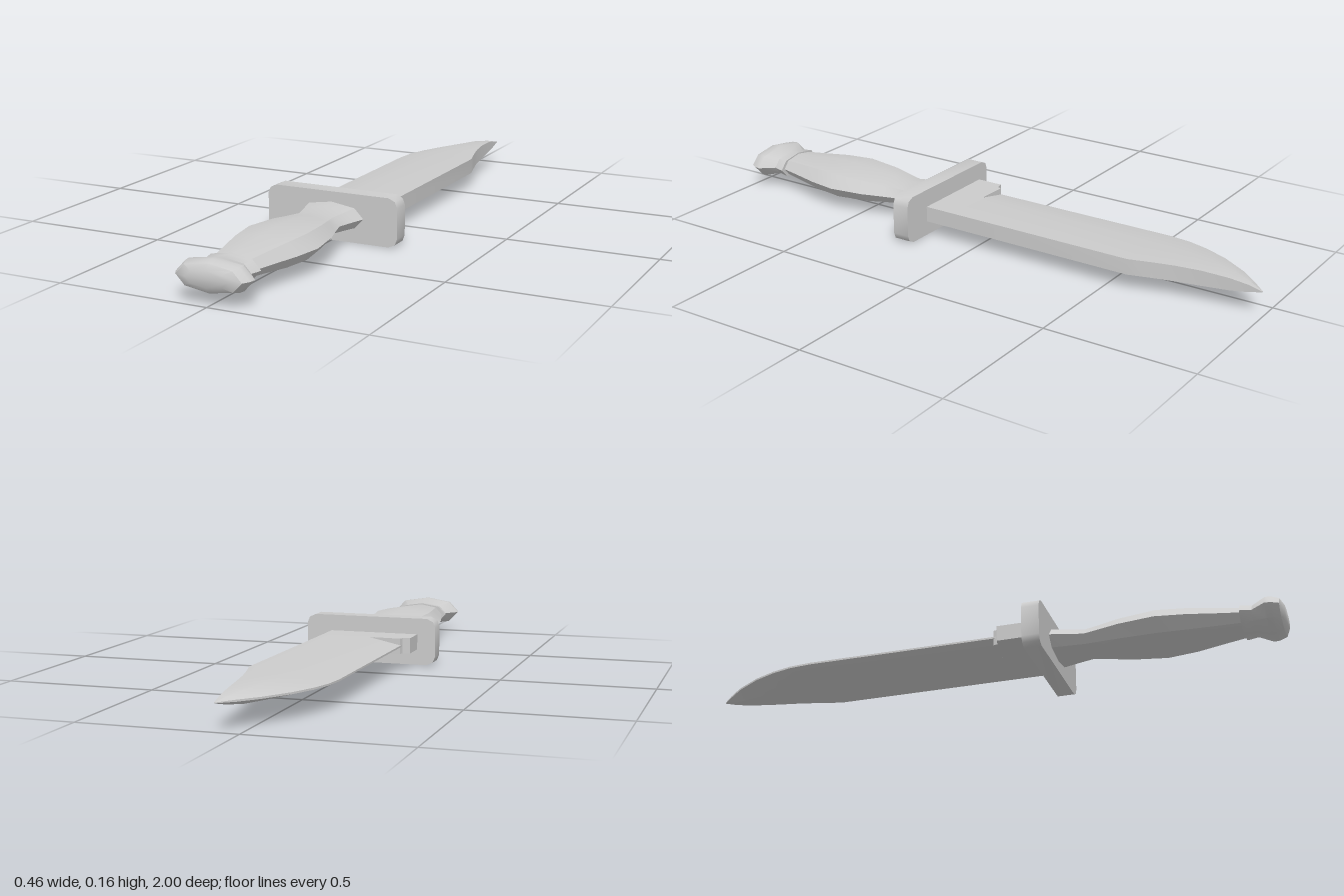
import * as THREE from 'three';
import { toCreasedNormals } from 'three/addons/utils/BufferGeometryUtils.js';

const MID = 0.082; // height of the knife's centre plane

// Skins a list of rings (counter-clockwise in xy, ordered by rising z) and caps both ends.
function loft(rings, crease) {
  const n = rings[0].length, pos = [], idx = [];
  rings.forEach(r => r.forEach(p => pos.push(...p)));
  for (let j = 0; j < rings.length - 1; j++) {
    for (let i = 0; i < n; i++) {
      const k = (i + 1) % n;
      const a = j * n + i, b = j * n + k, c = b + n, d = a + n;
      idx.push(a, b, c, a, c, d);
    }
  }
  const last = (rings.length - 1) * n;
  for (let i = 1; i < n - 1; i++) {
    idx.push(0, i + 1, i, last, last + i, last + i + 1);
  }
  const g = new THREE.BufferGeometry();
  g.setAttribute('position', new THREE.Float32BufferAttribute(pos, 3));
  g.setIndex(idx);
  return toCreasedNormals(g, crease);
}

// Flattened eight-sided grip section with sharp side ridges
function gripRing([z, w, h]) {
  const s = [[1, 0], [0.72, 0.72], [0, 1], [-0.72, 0.72], [-1, 0], [-0.72, -0.72], [0, -1], [0.72, -0.72]];
  return s.map(([x, y]) => [x * w, MID + y * h, z]);
}

// Blade section: flat spine at +x, bevel from the ridge to the thin edge at -x
function bladeRing([z, edge, ridge, spine, h]) {
  const e = Math.min(0.003, h);
  return [[spine, -h], [spine, h], [ridge, h], [edge, e], [edge, -e], [ridge, -h]]
    .map(([x, y]) => [x, MID + y, z]);
}

function extrude(points, depth) {
  const shape = new THREE.Shape(points.map(([x, y]) => new THREE.Vector2(x, y)));
  return new THREE.ExtrudeGeometry(shape, { depth, bevelEnabled: false });
}

export function createModel() {
  const group = new THREE.Group();
  const material = new THREE.MeshStandardMaterial({ color: 0xcccccc });
  const add = (name, geometry) => {
    const mesh = new THREE.Mesh(geometry, material);
    mesh.name = name;
    group.add(mesh);
  };

  // Clip-point blade: z, edge x, ridge x, spine x, half thickness
  add('blade', loft([
    [-0.995, 0.073, 0.074, 0.076, 0.001],
    [-0.95, 0.03, 0.055, 0.077, 0.012],
    [-0.89, -0.022, 0.03, 0.081, 0.02],
    [-0.8, -0.08, 0.005, 0.09, 0.025],
    [-0.72, -0.115, -0.01, 0.103, 0.026],
    [-0.65, -0.135, -0.018, 0.12, 0.026],
    [-0.575, -0.143, -0.024, 0.141, 0.026],
    [0.09, -0.143, -0.03, 0.138, 0.026],
  ].map(bladeRing), 0.35));

  // Full-thickness heel of the blade; shape y is -z
  const heel = extrude([
    [-0.17, -0.185], [0.138, -0.185], [0.138, -0.085], [-0.03, -0.07], [-0.05, -0.079], [-0.14, -0.075], [-0.145, -0.09], [-0.17, -0.095],
  ], 0.052);
  heel.rotateX(-Math.PI / 2).translate(0, MID - 0.026, 0);
  add('bladeHeel', heel);

  // Cross guard with clipped corners
  const corner = [[0.23, 0.05], [0.222, 0.07], [0.2, 0.08]];
  const outline = [
    ...corner,
    ...corner.map(([x, y]) => [-x, y]).reverse(),
    ...corner.map(([x, y]) => [-x, -y]),
    ...corner.map(([x, y]) => [x, -y]).reverse(),
  ];
  add('guard', toCreasedNormals(extrude(outline, 0.058).translate(0, 0.081, 0.195), 0.8));

  // Swelling grip: z, half width, half height
  add('grip', loft([
    [0.245, 0.115, 0.046], [0.3, 0.099, 0.041], [0.36, 0.083, 0.036],
    [0.42, 0.1, 0.042], [0.48, 0.118, 0.049], [0.6, 0.136, 0.056],
    [0.7, 0.12, 0.052], [0.8, 0.094, 0.042], [0.87, 0.078, 0.035],
  ].map(gripRing), 0.55));

  // Collar and domed pommel
  add('pommel', loft([
    [0.862, 0.095, 0.04], [0.875, 0.093, 0.039], [0.9, 0.086, 0.037],
    [0.945, 0.124, 0.051], [0.965, 0.121, 0.05], [0.988, 0.108, 0.043], [1.0, 0.07, 0.025],
  ].map(gripRing), 0.7));

  return group;
}
